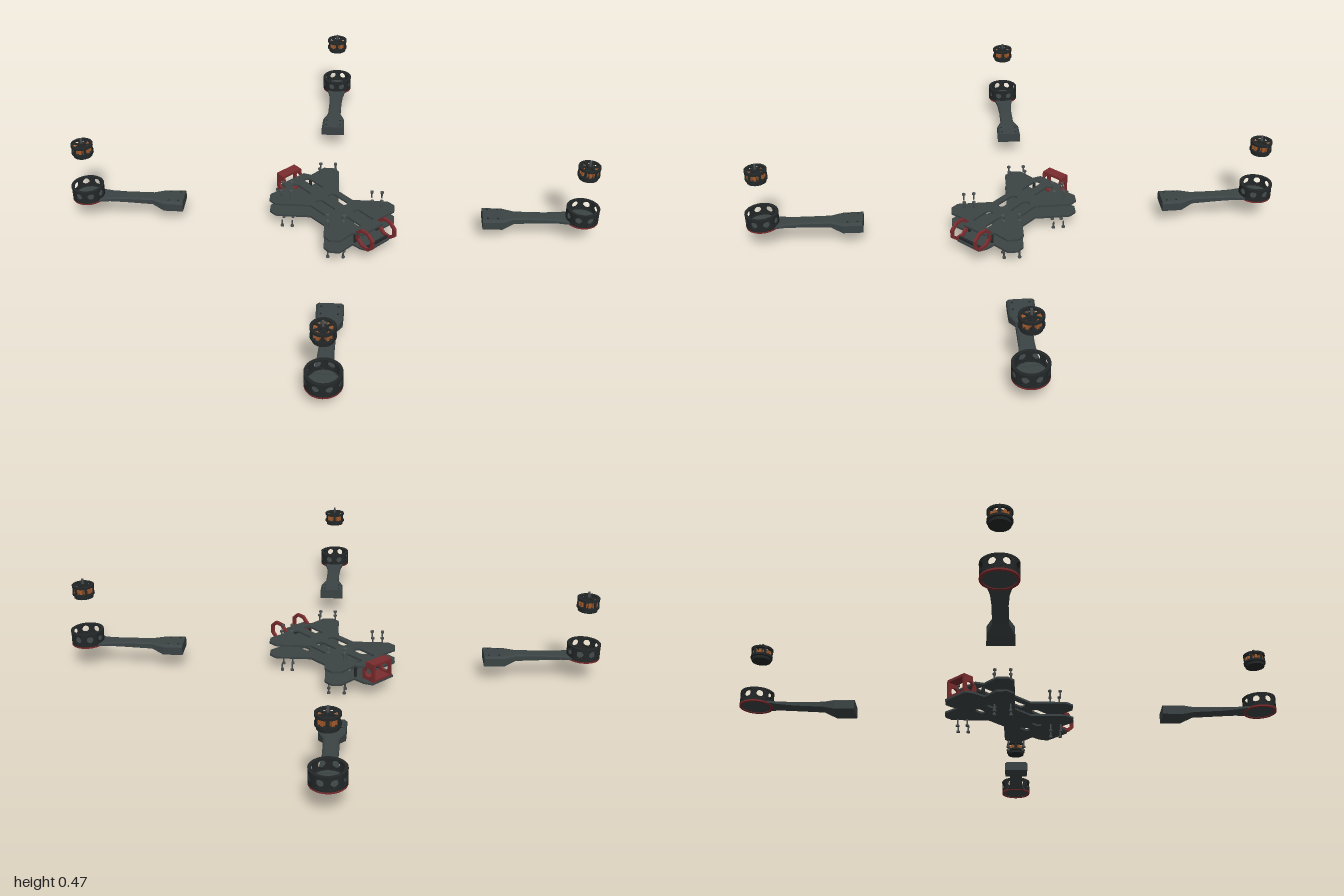
import * as THREE from 'three';

const mat = (name, color) => Object.assign(new THREE.MeshStandardMaterial({ color }), { name });

export function createModel() {
  const carbon = mat('carbon grey', 0x3b4344);
  const black = mat('motor black', 0x232727);
  const red = mat('dark red', 0x7a2c2e);
  const copper = mat('copper', 0xa05a2c);
  const steel = mat('dark steel', 0x4a4f50);
  const model = new THREE.Group();
  model.name = 'explodedQuadcopter';

  const add = (parent, name, geo, material, x = 0, y = 0, z = 0) => {
    const m = new THREE.Mesh(geo, material);
    m.name = name;
    m.position.set(x, y, z);
    parent.add(m);
    return m;
  };
  const cyl = (r, h, n = 24, r2 = r) => new THREE.CylinderGeometry(r, r2, h, n);
  const box = (w, h, d) => new THREE.BoxGeometry(w, h, d);
  const shapeOf = pts => new THREE.Shape(pts.map(p => new THREE.Vector2(...p)));
  const extrude = (shape, depth) =>
    new THREE.ExtrudeGeometry(shape, { depth, bevelEnabled: false, curveSegments: 10 });
  // flat ring with a square section, lying on y = 0..h
  const band = (ro, ri, h) => new THREE.LatheGeometry(
    [[ri, 0], [ro, 0], [ro, 0], [ro, h], [ro, h], [ri, h], [ri, h], [ri, 0]]
      .map(p => new THREE.Vector2(...p)), 32).toNonIndexed();
  const ring = (...a) => { const g = band(...a); g.computeVertexNormals(); return g; };
  const slot = (x, z, w, len) => {
    const r = w / 2, s = len / 2 - r, p = new THREE.Path();
    p.absarc(x, z + s, r, 0, Math.PI);
    p.absarc(x, z - s, r, Math.PI, Math.PI * 2);
    p.closePath();
    return p;
  };

  // Frame plates: X outline with a tab at each end
  const frame = new THREE.Group();
  frame.name = 'frame';
  model.add(frame);
  const plateShape = (front, rear, slots) => {
    const half = (e, s) => [[0.095, 0.055], [0.215, 0.18], [0.22, 0.19], [0.22, 0.232], [0.185, 0.267],
      [0.095, 0.262], [0.09, e - 0.04], [0.07, e]].map(([x, z]) => [x, z * s]);
    const right = [...half(rear, -1).reverse(), ...half(front, 1)];
    const left = right.map(([x, z]) => [-x, z]).reverse();
    const s = shapeOf([...right, ...left]);
    for (const [z, w, len] of slots) for (const x of [-0.042, 0.042]) s.holes.push(slot(x, z, w, len));
    return s;
  };
  const plate = (name, y, shape) =>
    add(frame, name, extrude(shape, 0.01).rotateX(Math.PI / 2), carbon, 0, y);
  plate('topPlate', 0.153, plateShape(0.305, 0.3, [[-0.19, 0.038, 0.125], [0, 0.038, 0.125], [0.19, 0.038, 0.125]]));
  plate('bottomPlate', 0.085, plateShape(0.35, 0.366, [[-0.16, 0.03, 0.055], [0.155, 0.03, 0.055]]));
  for (const x of [-0.075, 0.075]) for (const z of [-0.252, 0.256])
    add(frame, 'standoff', cyl(0.008, 0.06, 12), black, x, 0.114, z);
  add(frame, 'frontCrossBar', box(0.14, 0.012, 0.012), black, 0, 0.091, 0.335);

  // Front bumper hoops
  const octagon = r => Array.from({ length: 8 }, (_, i) => {
    const a = (i + 0.5) * Math.PI / 4;
    return [Math.cos(a) * r * 1.12, Math.sin(a) * r * 0.98];
  });
  const hoop = shapeOf(octagon(0.058));
  hoop.holes.push(new THREE.Path(octagon(0.042).map(p => new THREE.Vector2(...p))));
  for (const x of [-0.075, 0.075])
    add(frame, 'frontHoop', extrude(hoop, 0.014).translate(0, 0, -0.007).rotateY(-Math.PI / 2), red, x, 0.135, 0.328);

  // Rear bracket
  const side = shapeOf([[-0.285, 0.085], [-0.285, 0.135], [-0.305, 0.15], [-0.31, 0.18], [-0.365, 0.18], [-0.365, 0.085]]);
  side.holes.push(new THREE.Path().absarc(-0.325, 0.125, 0.023, 0, Math.PI * 2));
  for (const x of [-0.055, 0.055])
    add(frame, 'rearBracketSide', extrude(side, 0.012).translate(0, 0, -0.006).rotateY(-Math.PI / 2), red, x);
  add(frame, 'rearBracketTop', box(0.12, 0.013, 0.053), red, 0, 0.174, -0.339);
  add(frame, 'rearBracketBase', box(0.12, 0.01, 0.075), red, 0, 0.09, -0.327);

  // Screws floating above and below each wing
  const screw = (x, z, up) => {
    const g = new THREE.Group();
    g.name = 'screw';
    add(g, 'screwShaft', cyl(0.004, 0.03, 8), steel, 0, 0.015);
    add(g, 'screwHead', cyl(0.009, 0.008, 12), steel, 0, 0.034);
    g.position.set(x, up ? 0.186 : 0.038, z);
    if (!up) g.rotation.x = Math.PI;
    model.add(g);
  };
  for (const sx of [-1, 1]) for (const sz of [-1, 1])
    for (const [x, z] of [[0.185, 0.176], [0.15, 0.139], [0.13, 0.23], [0.095, 0.198]])
      for (const up of [true, false]) screw(sx * x, sz * z, up);

  // Arm: box section lofted through stations [distance, half width, bottom, top]
  const armGeometry = () => {
    const st = [[0, 0.0635, 0.086, 0.137], [0.1, 0.061, 0.086, 0.138], [0.16, 0.036, 0.107, 0.138],
      [0.3, 0.035, 0.114, 0.138], [0.38, 0.04, 0.12, 0.137], [0.45, 0.055, 0.124, 0.136]];
    const pos = [];
    const loops = st.map(([t, w, b, h]) => {
      const c = Math.min(0.012, w * 0.25), d = (h - b) * 0.2;
      return [[-w, b, t], [w, b, t], [w, h - d, t], [w - c, h, t], [-w + c, h, t], [-w, h - d, t]];
    });
    const tri = (a, b, c) => pos.push(...a, ...b, ...c);
    for (let i = 0; i < loops.length - 1; i++) for (let j = 0; j < 6; j++) {
      const k = (j + 1) % 6, A = loops[i], B = loops[i + 1];
      tri(A[j], A[k], B[k]);
      tri(A[j], B[k], B[j]);
    }
    const last = loops[loops.length - 1];
    for (let j = 1; j < 5; j++) {
      tri(loops[0][0], loops[0][j + 1], loops[0][j]);
      tri(last[0], last[j], last[j + 1]);
    }
    const g = new THREE.BufferGeometry();
    g.setAttribute('position', new THREE.Float32BufferAttribute(pos, 3));
    g.computeVertexNormals();
    return g;
  };

  // Guard wall: one eighth panel with a round window, bent onto a cylinder
  const R = 0.076;
  const panelGeometry = () => {
    const L = R * Math.PI / 4, n = 8, pts = [];
    for (let i = 0; i <= n; i++) pts.push([-L / 2 + L * i / n, 0]);
    for (let i = n; i >= 0; i--) pts.push([-L / 2 + L * i / n, 0.052]);
    const s = shapeOf(pts);
    s.holes.push(new THREE.Path().absarc(0, 0.027, 0.017, 0, Math.PI * 2));
    const g = extrude(s, 0.006), p = g.attributes.position;
    for (let i = 0; i < p.count; i++) {
      const a = p.getX(i) / R, r = R + p.getZ(i);
      p.setXYZ(i, Math.sin(a) * r, p.getY(i), Math.cos(a) * r);
    }
    g.computeVertexNormals();
    return g;
  };

  const armGeo = armGeometry(), panelGeo = panelGeometry();
  const M = 0.4975; // motor axis along the arm

  const buildMotor = parent => {
    const g = new THREE.Group();
    g.name = 'motor';
    g.position.z = M;
    parent.add(g);
    add(g, 'motorBase', cyl(0.048, 0.014), black, 0, 0.382);
    add(g, 'motorLowerRing', ring(0.055, 0.04, 0.011), black, 0, 0.391);
    add(g, 'statorCore', cyl(0.024, 0.046), black, 0, 0.41);
    add(g, 'motorTopRing', ring(0.055, 0.042, 0.011), black, 0, 0.432);
    add(g, 'motorHub', cyl(0.016, 0.014), black, 0, 0.438);
    add(g, 'motorShaft', cyl(0.006, 0.03, 12), steel, 0, 0.457);
    for (let i = 0; i < 12; i++) {
      const a = i * Math.PI / 6;
      add(g, 'coil', box(0.012, 0.026, 0.024), copper, Math.sin(a) * 0.034, 0.413, Math.cos(a) * 0.034).rotation.y = a;
    }
    for (let i = 0; i < 6; i++) {
      const a = i * Math.PI / 3;
      add(g, 'motorSpoke', box(0.008, 0.008, 0.034), black, Math.sin(a) * 0.029, 0.438, Math.cos(a) * 0.029).rotation.y = a;
      add(g, 'motorPost', box(0.012, 0.034, 0.005), black, Math.sin(a) * 0.051, 0.417, Math.cos(a) * 0.051).rotation.y = a;
    }
  };

  for (const sx of [-1, 1]) for (const sz of [-1, 1]) {
    const g = new THREE.Group();
    g.name = 'armAssembly';
    g.position.set(sx * 0.516, 0, sz * 0.566);
    g.rotation.y = Math.atan2(sx, sz);
    model.add(g);
    add(g, 'arm', armGeo, carbon);
    for (const x of [-0.039, 0.039]) for (const z of [0.025, 0.075])
      add(g, 'armScrewHole', cyl(0.005, 0.003, 10), black, x, 0.138, z);

    // Motor guard cup, turned so its windows face the model's axes
    const cup = new THREE.Group();
    cup.name = 'motorGuard';
    cup.position.z = M;
    cup.rotation.y = Math.PI / 8 - Math.PI / 4;
    g.add(cup);
    add(cup, 'guardFloor', cyl(0.078, 0.01, 32), carbon, 0, 0.128);
    add(cup, 'guardLight', ring(0.0825, 0.07, 0.008), red, 0, 0.12);
    add(cup, 'guardLowerRim', ring(0.082, 0.072, 0.012), black, 0, 0.128);
    add(cup, 'guardUpperRim', ring(0.083, 0.068, 0.008), black, 0, 0.188);
    for (let i = 0; i < 8; i++)
      add(cup, 'guardWall', panelGeo, black, 0, 0.138).rotation.y = i * Math.PI / 4;
    buildMotor(g);
  }
  return model;
}
